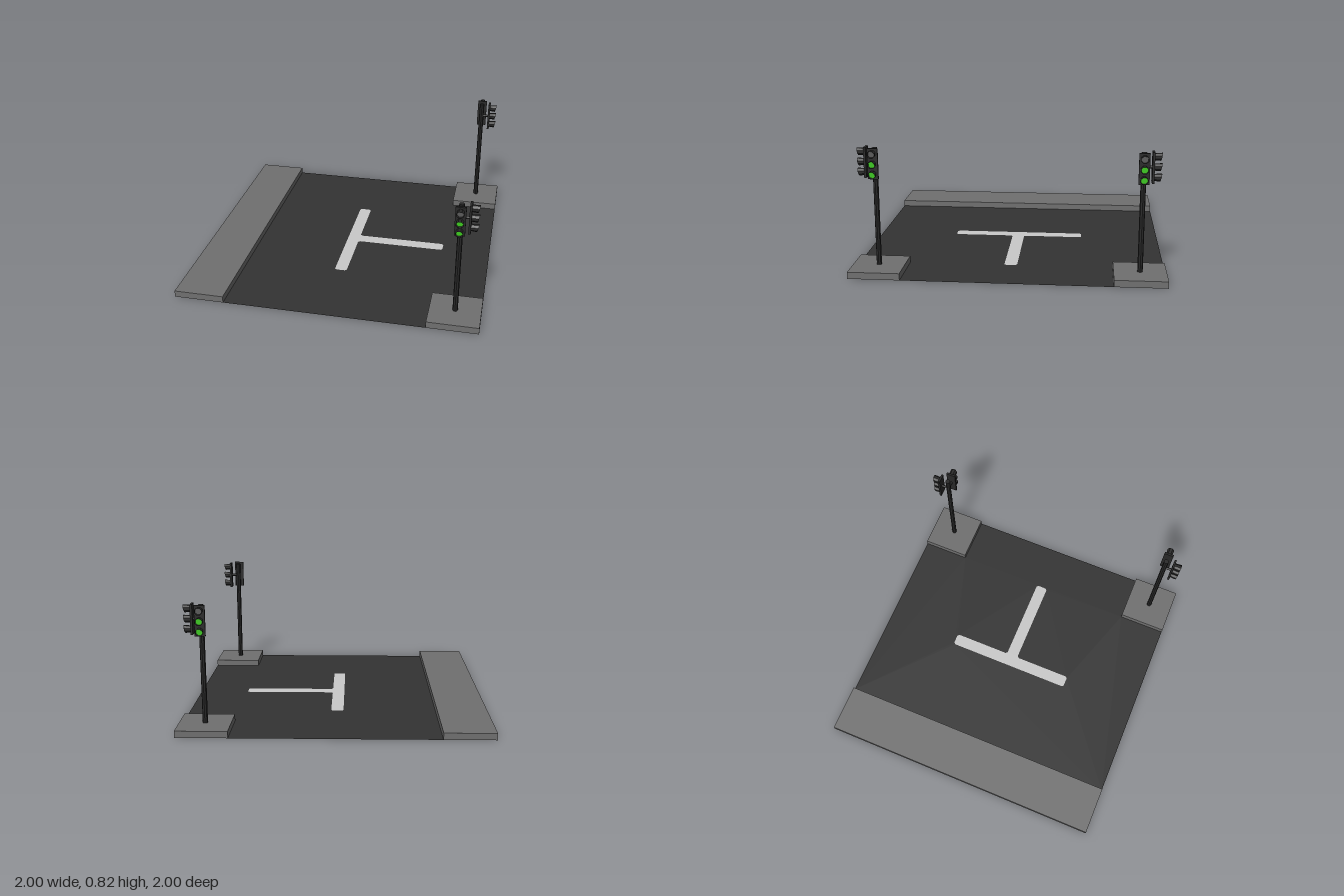
import * as THREE from 'three';

const mat = (name, color, double = false) => {
  const m = new THREE.MeshStandardMaterial({ color, side: double ? THREE.DoubleSide : THREE.FrontSide });
  m.name = name;
  return m;
};

export function createModel() {
  const asphalt = mat('asphalt', 0x333333, true);
  const pavement = mat('pavement', 0x707070, true);
  const paint = mat('roadPaint', 0xcacaca, true);
  const metal = mat('darkMetal', 0x282828, true);
  const green = mat('greenLens', 0x3cc81e);
  const grey = mat('unlitLens', 0x5a5a5a);

  const model = new THREE.Group();
  model.name = 'junction';
  const add = (parent, name, geometry, material, x = 0, y = 0, z = 0) => {
    const mesh = new THREE.Mesh(geometry, material);
    mesh.name = name;
    mesh.position.set(x, y, z);
    parent.add(mesh);
    return mesh;
  };
  const points = list => list.map(([x, y]) => new THREE.Vector2(x, y));

  // T-shaped marking with clipped corners, set flush into the road
  const w = 0.042, end = 0.455, tip = 0.663, c = 0.012;
  const marking = points([
    [-w, -end + c], [-w + c, -end], [w - c, -end], [w, -end + c],
    [w, -w - c], [w + c, -w], [tip - c, -w], [tip, -w + c],
    [tip, w - c], [tip - c, w], [w + c, w], [w, w + c],
    [w, end - c], [w - c, end], [-w + c, end], [-w, end - c],
  ]);
  const k = 0.667;
  const road = new THREE.Shape(points([
    [-k, -1], [k, -1], [k, -k], [1, -k], [1, k], [k, k], [k, 1], [-k, 1],
  ]));
  road.holes.push(new THREE.Path(marking));
  const flat = shape => new THREE.ShapeGeometry(shape).rotateX(-Math.PI / 2);
  add(model, 'road', flat(road), asphalt);
  add(model, 'roadMarking', flat(new THREE.Shape(marking)), paint);

  // Raised pavements, hollow underneath
  const slab = (name, width, depth, x, z) => {
    const g = new THREE.BoxGeometry(width, 0.044, depth);
    const index = Array.from(g.index.array);
    index.splice(18, 6);
    g.clearGroups();
    g.setIndex(index);
    add(model, name, g, pavement, x, 0.022, z);
  };
  slab('longPavement', 1 - k, 2, -(1 + k) / 2, 0);
  for (const s of [1, -1]) slab('cornerPavement', 1 - k, 1 - k, (1 + k) / 2, s * (1 + k) / 2);

  // Lens hood: a short tube whose rim reaches further at the top
  const hood = new THREE.CylinderGeometry(0.025, 0.022, 0.044, 8, 1, true)
    .rotateY(Math.PI / 8).rotateX(Math.PI / 2).toNonIndexed();
  const p = hood.attributes.position;
  for (let i = 0; i < p.count; i++) {
    if (p.getZ(i) > 0) p.setZ(i, p.getZ(i) + p.getY(i) * 0.25);
  }
  hood.computeVertexNormals();
  const lens = new THREE.CircleGeometry(0.0225, 8, Math.PI / 8);
  const plate = new THREE.BoxGeometry(0.066, 0.194, 0.014);
  const arm = new THREE.CylinderGeometry(0.009, 0.009, 0.055, 8).rotateX(Math.PI / 2);

  // One signal head facing +z
  const signalHead = () => {
    const head = new THREE.Group();
    head.name = 'signalHead';
    add(head, 'arm', arm, metal, 0, 0.72, 0.027);
    add(head, 'backPlate', plate, metal, 0, 0.72, 0.057);
    [0.785, 0.72, 0.655].forEach((y, i) => {
      add(head, 'hood', hood, metal, 0, y, 0.084);
      add(head, 'lens', lens, i === 0 ? grey : green, 0, y, 0.083);
    });
    return head;
  };

  // Two posts, each with one head outward along z and one towards +x
  const post = new THREE.CylinderGeometry(0.017, 0.017, 0.766, 8).toNonIndexed();
  post.computeVertexNormals();
  for (const s of [1, -1]) {
    const light = new THREE.Group();
    light.name = s > 0 ? 'frontTrafficLight' : 'backTrafficLight';
    light.position.set(0.833, 0, s * 0.833);
    add(light, 'post', post, metal, 0, 0.427, 0);
    const outward = signalHead(), side = signalHead();
    outward.rotation.y = s > 0 ? 0 : Math.PI;
    side.rotation.y = Math.PI / 2;
    light.add(outward, side);
    model.add(light);
  }
  return model;
}
